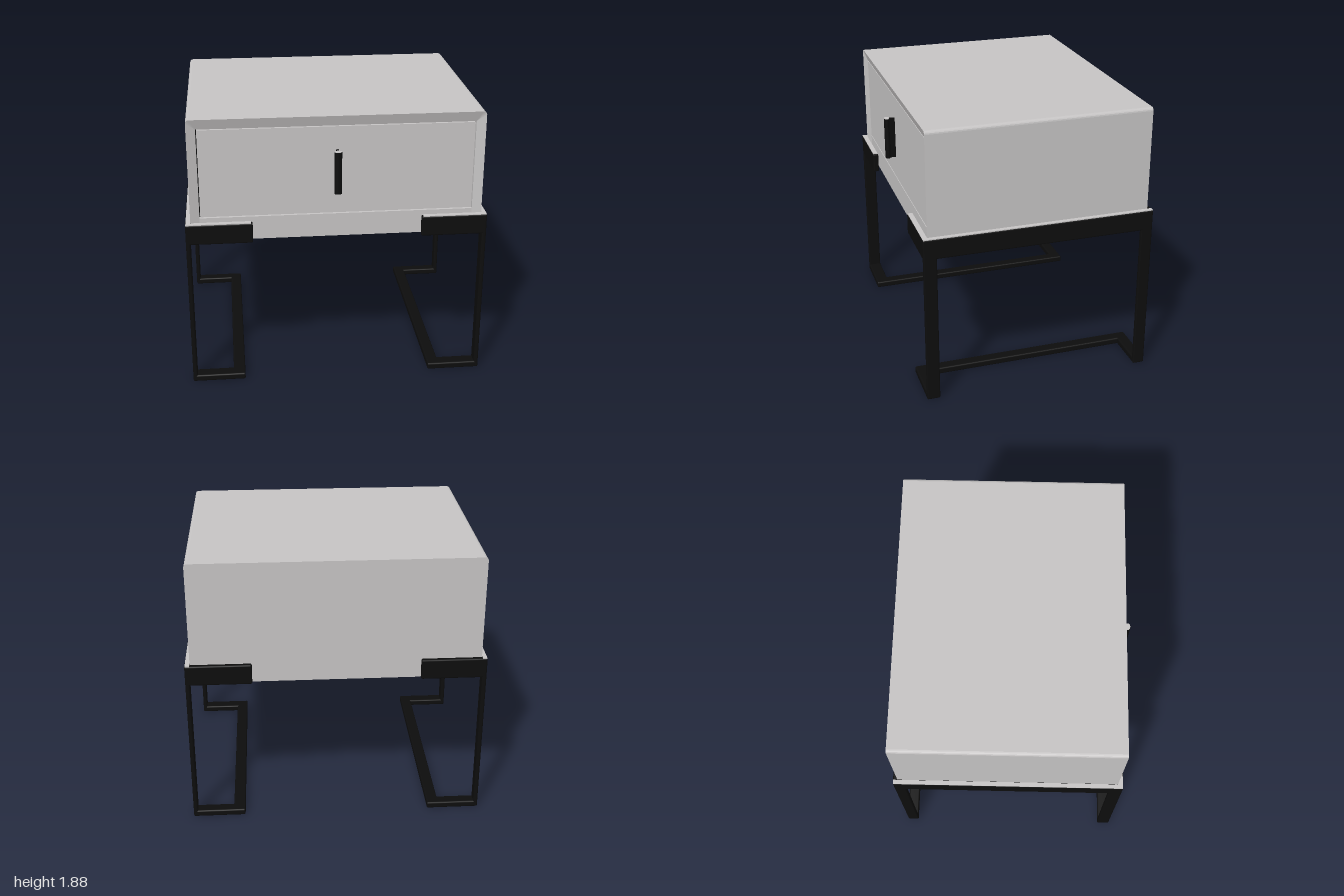
import * as THREE from 'three';
import { RoundedBoxGeometry } from 'three/addons/geometries/RoundedBoxGeometry.js';

const paint = new THREE.MeshStandardMaterial({ color: 0xc6c4c4 });
paint.name = 'pale grey lacquer';
const metal = new THREE.MeshStandardMaterial({ color: 0x0d0d0d });
metal.name = 'black metal';

function add(group, name, geometry, material) {
  const mesh = new THREE.Mesh(geometry, material);
  mesh.name = name;
  group.add(mesh);
  return mesh;
}

// Box given by its minimum and maximum on each axis; radius rounds its edges.
function block(group, name, material, [x0, x1], [y0, y1], [z0, z1], radius = 0) {
  const size = [x1 - x0, y1 - y0, z1 - z0];
  const geometry = radius ? new RoundedBoxGeometry(...size, 2, radius) : new THREE.BoxGeometry(...size);
  geometry.translate((x0 + x1) / 2, (y0 + y1) / 2, (z0 + z1) / 2);
  return add(group, name, geometry, material);
}

const W = 0.965, BOTTOM = 1.04, TOP = 1.88, R = 0.022;

// Outline of the cabinet from bottom right, over the top, to bottom left.
function outline() {
  const points = [[W, BOTTOM]];
  for (const [cx, start] of [[W - R, 0], [R - W, Math.PI / 2]]) {
    for (let i = 0; i <= 4; i++) {
      const a = start + (i / 4) * Math.PI / 2;
      points.push([cx + R * Math.cos(a), TOP - R + R * Math.sin(a)]);
    }
  }
  points.push([-W, BOTTOM]);
  return points;
}

// Mitred front rim: outer wall, sloping face and inner wall.
function rimGeometry() {
  const outer = outline();
  const inner = outer.map(([x, y]) => [Math.sign(x) * 0.905, y === BOTTOM ? BOTTOM : 1.81]);
  const rows = [[outer, 0.69], [outer, 0.745], [inner, 0.722], [inner, 0.69]];
  const position = [];
  for (let r = 0; r < 3; r++) {
    const [a, za] = rows[r], [b, zb] = rows[r + 1];
    for (let i = 0; i + 1 < a.length; i++) {
      const p = [...a[i], za], q = [...a[i + 1], za], s = [...b[i], zb], t = [...b[i + 1], zb];
      position.push(...p, ...q, ...s, ...q, ...t, ...s);
    }
  }
  const geometry = new THREE.BufferGeometry();
  geometry.setAttribute('position', new THREE.Float32BufferAttribute(position, 3));
  // Reverse each triangle so the faces point outward.
  const index = [];
  for (let i = 0; i < position.length / 3; i += 3) index.push(i, i + 2, i + 1);
  geometry.setIndex(index);
  const flat = geometry.toNonIndexed();
  flat.computeVertexNormals();
  return flat;
}

function buildCabinet() {
  const cabinet = new THREE.Group();
  cabinet.name = 'cabinet';
  const shape = new THREE.Shape(outline().map(([x, y]) => new THREE.Vector2(x, y)));
  const body = new THREE.ExtrudeGeometry(shape, { depth: 1.45, bevelEnabled: false });
  body.translate(0, 0, -0.76);
  add(cabinet, 'carcass', body, paint);
  const rim = paint.clone();
  rim.side = THREE.DoubleSide;
  add(cabinet, 'frontRim', rimGeometry(), rim);
  block(cabinet, 'drawerGap', metal, [-0.905, 0.905], [1.19, 1.812], [0.689, 0.696]);
  block(cabinet, 'drawerFront', paint, [-0.899, 0.899], [1.208, 1.804], [0.692, 0.722]);
  block(cabinet, 'lowerRail', paint, [-0.906, 0.906], [BOTTOM, 1.2], [0.689, 0.722]);
  return cabinet;
}

function buildHandle() {
  const handle = new THREE.Group();
  handle.name = 'handle';
  const grip = new THREE.CylinderGeometry(0.025, 0.025, 0.286, 24);
  grip.scale(1, 1, 0.72);
  add(handle, 'grip', grip, metal).position.set(0, 1.505, 0.777);
  const cap = new THREE.CylinderGeometry(0.023, 0.024, 0.004, 24);
  cap.scale(1, 1, 0.72);
  add(handle, 'gripCap', cap, paint).position.set(0, 1.65, 0.777);
  block(handle, 'neck', metal, [-0.008, 0.008], [1.362, 1.648], [0.715, 0.77]);
  return handle;
}

// One side of the stand; side is +1 for the left and -1 for the right.
function buildStand(side) {
  const stand = new THREE.Group();
  stand.name = side > 0 ? 'leftStand' : 'rightStand';
  const bar = (name, x, y, z, radius = 0.01, material = metal) => {
    const span = side > 0 ? x : [-x[1], -x[0]];
    block(stand, name, material, span, y, z, radius);
  };
  const band = [1.035, 1.175], foot = [0, 0.045];
  bar('sideBand', [0.964, 1], band, [-0.79, 0.78]);
  bar('frontBand', [0.56, 1], band, [0.74, 0.78]);
  bar('backBand', [0.56, 1], band, [-0.79, -0.755]);
  // Pale upper edges of the band
  bar('sideBandEdge', [0.968, 0.997], [1.172, 1.178], [-0.787, 0.777], 0, paint);
  bar('frontBandEdge', [0.57, 0.968], [1.172, 1.178], [0.745, 0.777], 0, paint);
  // Posts, inward feet and floor runner
  for (const [name, z] of [['front', [0.69, 0.78]], ['back', [-0.79, -0.71]]]) {
    bar(name + 'Post', [0.97, 1], [0, 1.06], z);
    bar(name + 'Foot', [0.64, 1], foot, z);
  }
  bar('floorRunner', [0.64, 0.72], foot, [-0.79, 0.78]);
  return stand;
}

export function createModel() {
  const model = new THREE.Group();
  model.name = 'bedsideTable';
  model.add(buildCabinet(), buildHandle(), buildStand(1), buildStand(-1));
  return model;
}
